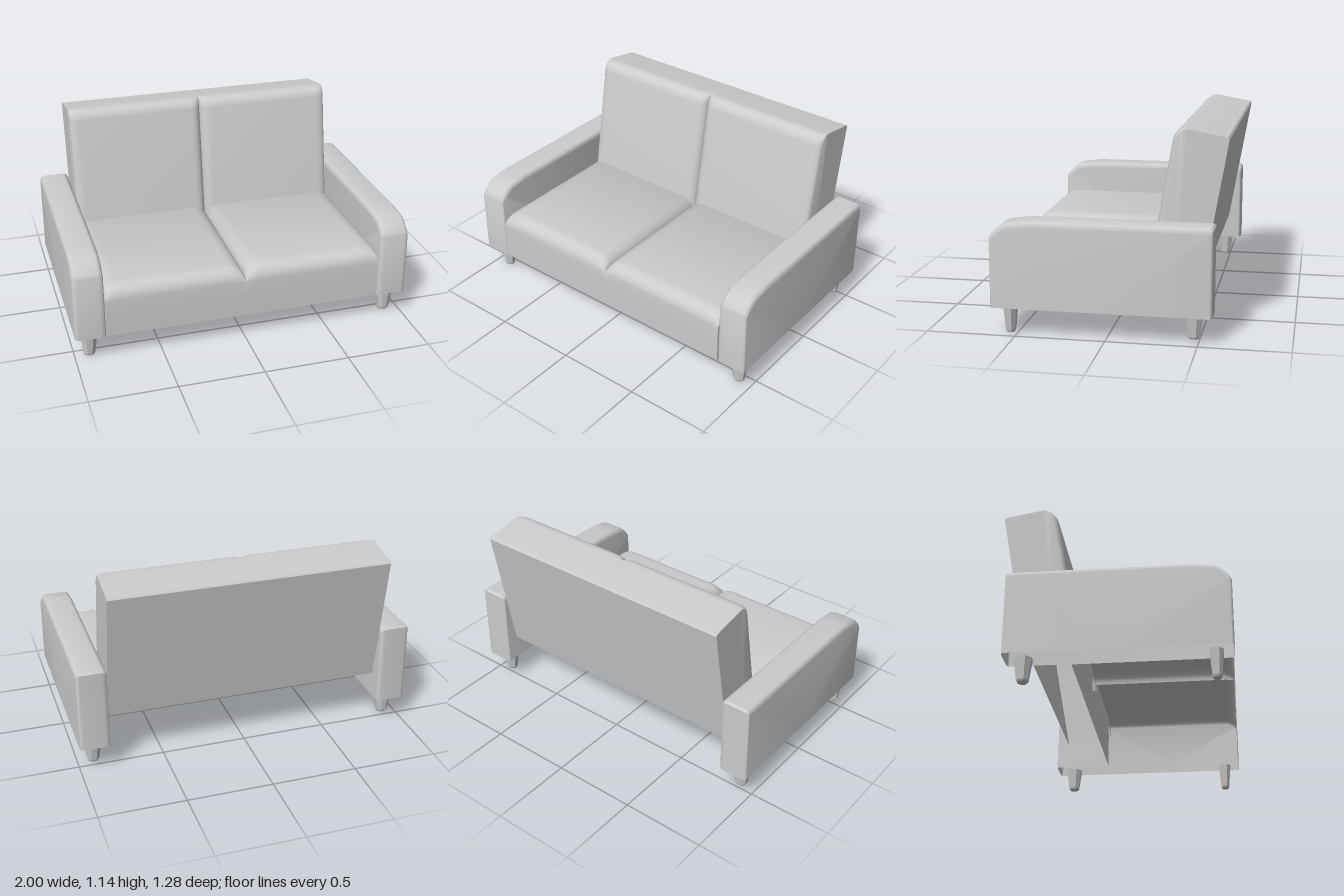
import * as THREE from 'three';
import { toCreasedNormals } from 'three/addons/utils/BufferGeometryUtils.js';

const fabric = new THREE.MeshStandardMaterial({ color: 0xcccccc, side: THREE.DoubleSide });
const legMaterial = new THREE.MeshStandardMaterial({ color: 0xcccccc, flatShading: true });

// Columns [x, inset] across a panel whose two side edges roll off along a quarter ellipse
function columns(x0, x1, radius, inset0, inset1, n = 6) {
  const start = [], end = [];
  for (let i = 0; i <= n; i++) {
    const a = (i / n) * Math.PI / 2;
    const dx = radius * (1 - Math.cos(a)), k = 1 - Math.sin(a);
    start.push([x0 + dx, inset0 * k]);
    end.unshift([x1 - dx, inset1 * k]);
  }
  return [...start, ...end];
}

// Two cushions side by side, meeting in a crease at x = 0
function cushionPair(half, radius, edgeInset, creaseInset) {
  return [...columns(-half, 0, radius, edgeInset, creaseInset),
    ...columns(0, half, radius, creaseInset, edgeInset).slice(1)];
}

// Rounded corner of a profile; dir gives the inset direction at each angle
function corner(cz, cy, r, dir, n = 6) {
  return Array.from({ length: n + 1 }, (_, i) => {
    const a = (i / n) * Math.PI / 2;
    return [cz + r * Math.cos(a), cy + r * Math.sin(a), ...dir(a)];
  });
}

// Open-bottomed shell: profile [z, y, insetZ, insetY] from front to back, swept over the columns
function shell(name, profile, cols) {
  const pos = [], index = [], m = profile.length;
  for (const [x, inset] of cols) {
    for (const [z, y, iz, iy] of profile) pos.push(x, y - iy * inset, z - iz * inset);
  }
  for (let i = 0; i < cols.length - 1; i++) {
    for (let j = 0; j < m - 1; j++) {
      const a = i * m + j, b = a + m;
      index.push(a, b, a + 1, b, b + 1, a + 1);
    }
  }
  // side walls
  const first = profile[0], last = profile[m - 1];
  [0, cols.length - 1].forEach((c, side) => {
    const centre = pos.length / 3;
    pos.push(cols[c][0], (first[1] + last[1]) / 2, (first[0] + last[0]) / 2);
    for (let j = 0; j < m - 1; j++) {
      const p = c * m + j;
      index.push(centre, side ? p + 1 : p, side ? p : p + 1);
    }
  });
  const geometry = new THREE.BufferGeometry();
  geometry.setAttribute('position', new THREE.Float32BufferAttribute(pos, 3));
  geometry.setIndex(index);
  const mesh = new THREE.Mesh(toCreasedNormals(geometry, 0.65), fabric);
  mesh.name = name;
  return mesh;
}

export function createModel() {
  const sofa = new THREE.Group();
  sofa.name = 'sofa';

  // Seat with two cushions
  const seatProfile = [
    [0.635, 0.155, 0, 0], [0.635, 0.3, 0, 0],
    ...corner(0.555, 0.38, 0.08, (a) => [0, Math.sin(a)]),
    [-0.215, 0.46, 0, 1], [-0.23, 0.45, 0, 1], [-0.23, 0.155, 0, 0],
  ];
  sofa.add(shell('seat', seatProfile, cushionPair(0.82, 0.09, 0.04, 0.07)));

  // Reclined backrest with two cushions
  const backProfile = [
    [0, 0, 1, 0],
    ...corner(-0.07, 0.73, 0.07, (a) => [Math.cos(a), 0]),
    [-0.29, 0.8, 0, 0], [-0.3, 0.79, 0, 0], [-0.3, 0, 0, 0],
  ];
  const back = shell('backrest', backProfile, cushionPair(0.82, 0.06, 0.03, 0.05));
  back.position.set(0, 0.36, -0.205);
  back.rotation.x = -Math.PI / 18;
  sofa.add(back);

  // Armrests, sloping down at the front
  const armProfile = [
    [0.64, 0.155, 0.4, 0], [0.64, 0.54, 0.5, 0.3], [0.63, 0.562, 0.6, 0.6],
    [0.605, 0.59, 0.6, 0.8], [0.58, 0.611, 0.4, 0.9], [0.55, 0.627, 0.2, 1],
    [0.43, 0.643, 0, 1], [-0.565, 0.643, 0, 1], [-0.578, 0.632, -0.5, 0.8],
    [-0.578, 0.155, -0.5, 0],
  ];
  const legProfile = [[0, 0], [0.03, 0], [0.036, 0.012], [0.055, 0.155]]
    .map(([r, y]) => new THREE.Vector2(r, y));
  const legGeometry = new THREE.LatheGeometry(legProfile, 8).rotateY(Math.PI / 8);

  for (const side of [-1, 1]) {
    const label = side > 0 ? 'left' : 'right';
    const [a, b] = side > 0 ? [0.825, 1] : [-1, -0.825];
    sofa.add(shell(label + 'Armrest', armProfile, columns(a, b, 0.03, 0.03, 0.03)));

    // Tapered legs; the rear ones are a little shorter
    const front = new THREE.Mesh(legGeometry, legMaterial);
    front.name = label + 'FrontLeg';
    front.position.set(side * 0.912, 0, 0.545);
    front.scale.z = 0.75;
    const rear = new THREE.Mesh(legGeometry, legMaterial);
    rear.name = label + 'RearLeg';
    rear.position.set(side * 0.912, 0.02, -0.473);
    rear.scale.set(1, 0.135 / 0.155, 0.95);
    sofa.add(front, rear);
  }
  return sofa;
}
